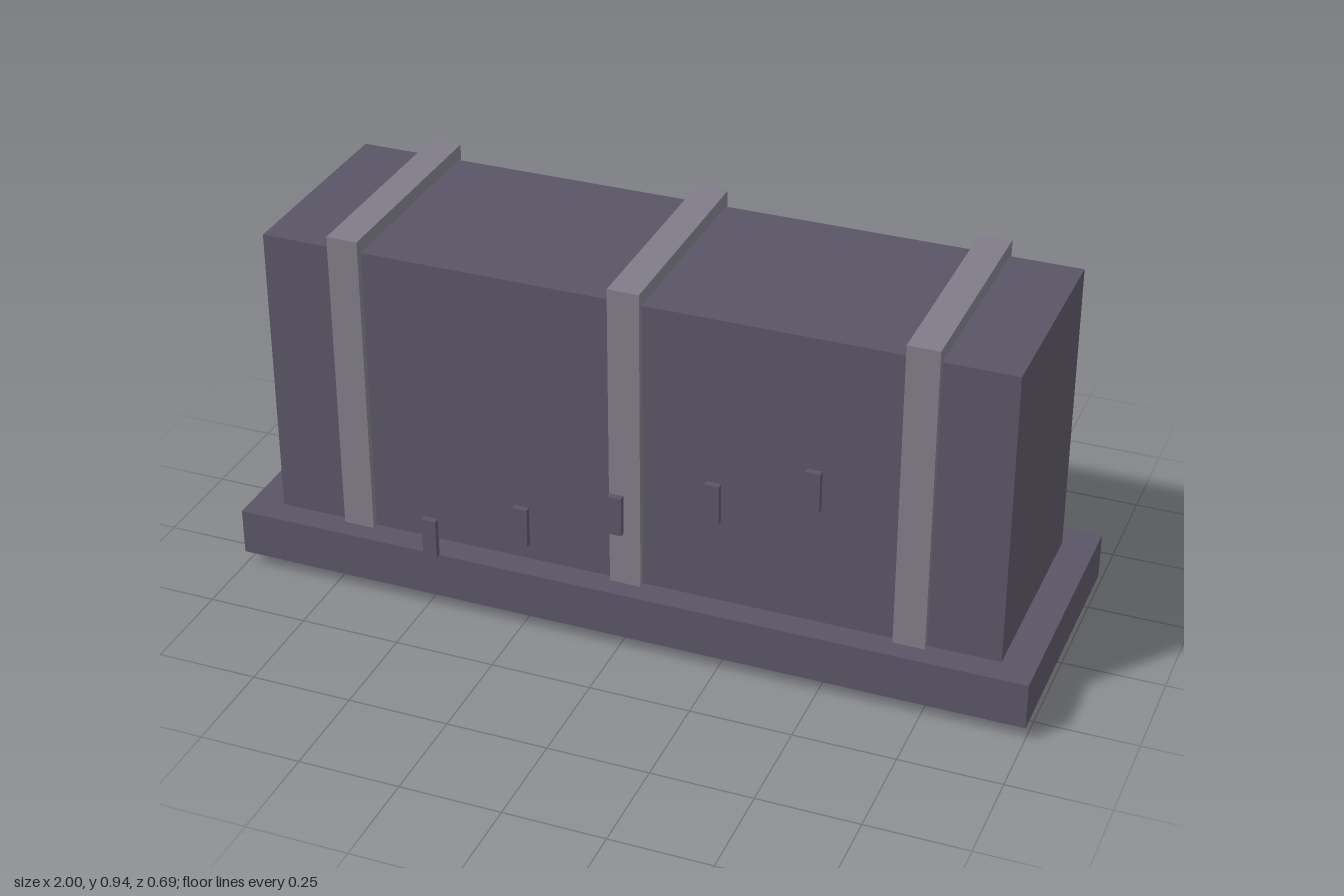
import * as THREE from 'three';

export function createModel() {
  const group = new THREE.Group();
  const slate = new THREE.MeshStandardMaterial({ color: 0x5a5565 });
  slate.name = 'dark slate';
  const steel = new THREE.MeshStandardMaterial({ color: 0x807c87 });
  steel.name = 'grey steel';

  // Box given by its lower and upper corners
  const box = (name, material, [x0, y0, z0], [x1, y1, z1]) => {
    const mesh = new THREE.Mesh(new THREE.BoxGeometry(x1 - x0, y1 - y0, z1 - z0), material);
    mesh.position.set((x0 + x1) / 2, (y0 + y1) / 2, (z0 + z1) / 2);
    mesh.name = name;
    group.add(mesh);
  };

  // Plinth and main block
  box('plinth', slate, [-1, 0.035, -0.342], [1, 0.153, 0.327]);
  box('body', slate, [-0.918, 0.153, -0.275], [0.918, 0.9, 0.26]);

  // Bands wrapped around the block and under the plinth
  for (const x of [-0.702, 0, 0.702]) {
    box('band', steel, [x - 0.039, 0, -0.29], [x + 0.039, 0.935, 0.277]);
  }

  // Rising row of small tabs, standing clear of the front
  for (let i = 0; i < 5; i++) {
    const x = (i - 2) * 0.24;
    const y = 0.155 + i * 0.0875;
    box('tab', slate, [x - 0.018, y, 0.327], [x + 0.018, y + 0.101, 0.343]);
  }
  return group;
}
